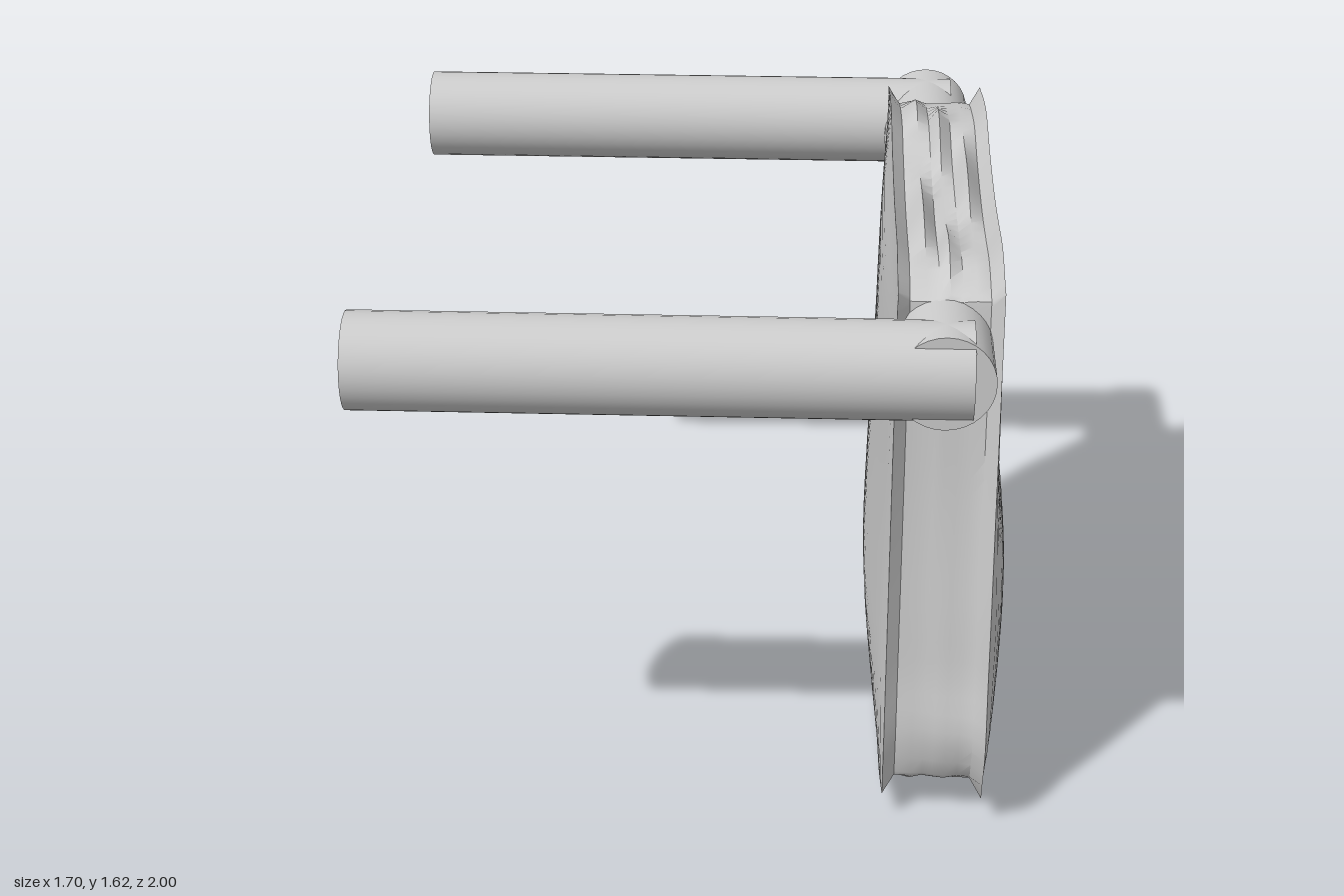
import * as THREE from 'three';
import { toCreasedNormals } from 'three/addons/utils/BufferGeometryUtils.js';

// Smooth function over 0..1 through evenly spaced values
function profile(values) {
  const n = values.length - 1;
  const curve = new THREE.SplineCurve(values.map((v, i) => new THREE.Vector2(i / n, v)));
  return t => curve.getPoint(t).y;
}

// Wavy outline of the cushion: heights along its width, depths along its height
const topY = profile([1.57, 1.605, 1.625, 1.6, 1.585, 1.58, 1.59, 1.6, 1.56]);
const bottomY = profile([0.085, 0.03, 0.01, 0.02, 0.035, 0.02, 0.03, 0.045, 0.09]);
const frontZ = profile([0.79, 0.86, 0.84, 0.83, 0.815, 0.8, 0.79, 0.78, 0.77]);
const backZ = profile([-0.7, -0.73, -0.715, -0.72, -0.725, -0.72, -0.7, -0.695, -0.7]);
// How far each face bulges, from bottom to top
const outerBulge = profile([0.1, 0.65, 0.97, 1, 0.7, 0.4, 0.3, 0.18, 0]);
const innerBulge = profile([0.15, 0.65, 1, 0.95, 0.8, 0.65, 0.57, 0.4, 0]);

// Point on a cushion face; side 0 is the inner face, 1 the outer face
function facePoint(side, u, v) {
  const across = Math.pow(Math.max(0, 1 - (2 * u - 1) ** 2), 0.7);
  const x = side ? 0.778 + 0.067 * outerBulge(v) * across : 0.512 - 0.052 * innerBulge(v) * across;
  const z1 = 0.77 + (frontZ(v) - 0.77) * (side ? 1 : 0.3);
  return new THREE.Vector3(
    x,
    THREE.MathUtils.lerp(bottomY(u), topY(u), v),
    THREE.MathUtils.lerp(backZ(v), z1, u)
  );
}

function cushionGeometry() {
  const N = 28, positions = [], index = [];
  const add = p => positions.push(p.x, p.y, p.z) / 3 - 1;
  const quad = (a, b, c, d) => index.push(a, b, c, a, c, d);

  // Two bulging faces
  for (const side of [0, 1]) {
    const grid = [];
    for (let j = 0; j <= N; j++) {
      grid.push([]);
      for (let i = 0; i <= N; i++) grid[j].push(add(facePoint(side, i / N, j / N)));
    }
    for (let j = 0; j < N; j++) for (let i = 0; i < N; i++) {
      const [a, b, c, d] = [grid[j][i], grid[j][i + 1], grid[j + 1][i + 1], grid[j + 1][i]];
      if (side) quad(a, d, c, b); else quad(a, b, c, d);
    }
  }

  // Sunken, wrinkled border between the two rims
  const rows = [0, 0.12, 0.28, 0.4, 0.5, 0.62, 0.75, 0.88, 1];
  const ridges = [0, 0, 1, 0.1, 0.8, 0.1, 1, 0, 0];
  const loop = [];
  for (let i = 0; i < N; i++) loop.push([i / N, 0]);
  for (let i = 0; i < N; i++) loop.push([1, i / N]);
  for (let i = 0; i < N; i++) loop.push([1 - i / N, 1]);
  for (let i = 0; i < N; i++) loop.push([0, 1 - i / N]);
  const border = loop.map(([u, v]) => {
    const p0 = facePoint(0, u, v), p1 = facePoint(1, u, v);
    const onEnd = u > 0 && u < 1;
    return rows.map((f, k) => {
      const p = p0.clone().lerp(p1, f);
      if (k > 0 && k < rows.length - 1) {
        const wave = 0.5 + 0.5 * Math.sin(11 * u + 2 * k + 3 * v);
        const fold = onEnd ? ridges[k] * wave * Math.min(1, 6 * u * (1 - u)) : 0.12 * wave;
        const inset = 0.042 * (1 - 1.2 * fold);
        if (u === 0) p.z += inset;
        if (u === 1) p.z -= inset;
        if (v === 0) p.y += inset;
        if (v === 1) p.y -= inset;
      }
      return add(p);
    });
  });
  border.forEach((ring, t) => {
    const next = border[(t + 1) % border.length];
    for (let k = 0; k < rows.length - 1; k++) quad(ring[k], ring[k + 1], next[k + 1], next[k]);
  });

  const geometry = new THREE.BufferGeometry();
  geometry.setAttribute('position', new THREE.Float32BufferAttribute(positions, 3));
  geometry.setIndex(index);
  return toCreasedNormals(geometry, 0.7);
}

export function createModel() {
  const group = new THREE.Group();
  const material = new THREE.MeshStandardMaterial({ color: 0xcccccc });
  const addMesh = (name, geometry) => {
    const mesh = new THREE.Mesh(geometry, material);
    mesh.name = name;
    group.add(mesh);
    return mesh;
  };

  // Two parallel arms
  for (const [name, z] of [['frontArm', 0.875], ['backArm', -0.875]]) {
    const arm = addMesh(name, new THREE.CylinderGeometry(0.125, 0.125, 1.55, 32));
    arm.rotation.z = Math.PI / 2;
    arm.position.set(-0.075, 1.4, z);
  }

  // Bar joining the arms through the cushion
  const bar = addMesh('crossbar', new THREE.CylinderGeometry(0.125, 0.125, 1.93, 32));
  bar.rotation.x = Math.PI / 2;
  bar.position.set(0.63, 1.4, -0.01);

  // Hanging padded cushion
  addMesh('cushion', cushionGeometry());
  return group;
}
